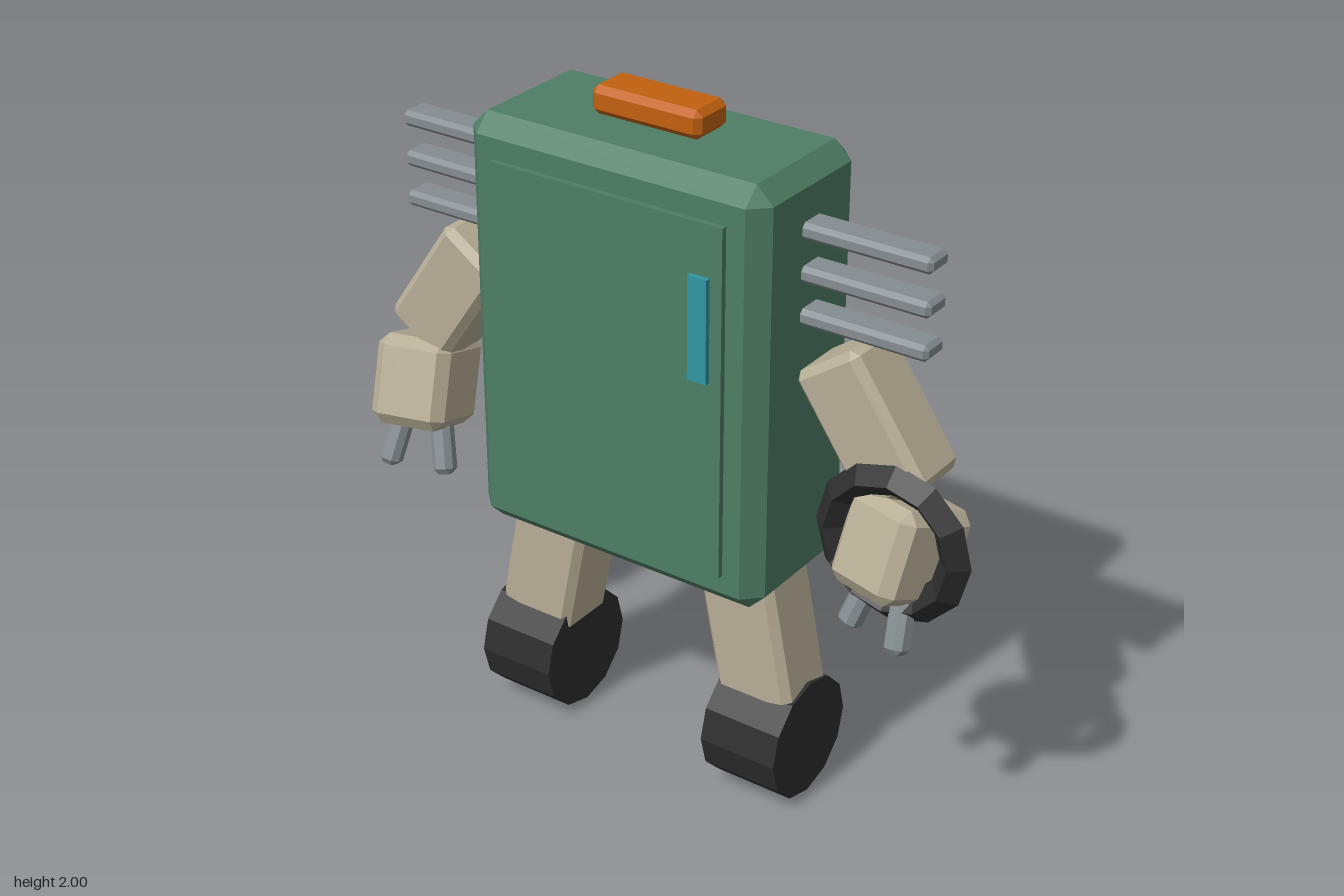
import * as THREE from 'three';
import { ConvexGeometry } from 'three/addons/geometries/ConvexGeometry.js';

const material = (name, color) => {
  const m = new THREE.MeshStandardMaterial({ color, flatShading: true });
  m.name = name;
  return m;
};

// Box with flat chamfers on every edge, centred on its origin
function chamferBox(w, h, d, c) {
  const points = [];
  for (const x of [-1, 1]) for (const y of [-1, 1]) for (const z of [-1, 1]) {
    const X = w / 2, Y = h / 2, Z = d / 2;
    points.push(
      new THREE.Vector3(x * X, y * (Y - c), z * (Z - c)),
      new THREE.Vector3(x * (X - c), y * Y, z * (Z - c)),
      new THREE.Vector3(x * (X - c), y * (Y - c), z * Z));
  }
  return new ConvexGeometry(points);
}

export function createModel() {
  const green = material('cabinet green', 0x4e7e65);
  const beige = material('limb beige', 0xb7ae96);
  const black = material('rubber black', 0x2d2d2d);
  const steel = material('steel grey', 0x858d91);
  const orange = material('lamp orange', 0xc26110);
  const teal = material('handle teal', 0x2f96a3);

  const model = new THREE.Group();
  model.name = 'cabinetRobot';
  const add = (parent, name, geometry, mat, x, y, z) => {
    const mesh = new THREE.Mesh(geometry, mat);
    mesh.name = name;
    mesh.position.set(x, y, z);
    parent.add(mesh);
    return mesh;
  };

  // The body's symmetry plane sits slightly off the model's centre
  const CX = -0.05, CZ = -0.015;

  // Cabinet body, door, handle and top lamp
  add(model, 'body', chamferBox(0.945, 1.23, 0.46, 0.05), green, CX, 1.295, CZ);
  add(model, 'door', new THREE.BoxGeometry(0.735, 1.015, 0.02), green, CX, 1.293, 0.222);
  add(model, 'doorHandle', new THREE.BoxGeometry(0.058, 0.295, 0.016), teal, 0.252, 1.508, 0.239);
  add(model, 'topLamp', chamferBox(0.345, 0.08, 0.14, 0.018), orange, CX - 0.0, 1.96, CZ);

  for (const s of [-1, 1]) {
    const side = s > 0 ? 'left' : 'right';

    // Three horizontal bars
    for (const y of [1.505, 1.625, 1.745])
      add(model, side + 'Bar', chamferBox(0.44, 0.046, 0.09, 0.012), steel, CX + s * 0.625, y, CZ);

    // Splayed leg and wheel foot
    const leg = add(model, side + 'Leg', chamferBox(0.243, 0.62, 0.205, 0.022), beige, CX + s * 0.331, 0.603, CZ);
    leg.rotation.z = s * 0.195;
    const wheel = new THREE.CylinderGeometry(0.183, 0.183, 0.243, 12).rotateZ(Math.PI / 2);
    add(model, side + 'Wheel', wheel, black, CX + s * 0.392, 0.183, CZ);

    // Upper arm
    const arm = add(model, side + 'UpperArm', chamferBox(0.22, 0.405, 0.2, 0.022), beige, CX + s * 0.687, 1.26, CZ);
    arm.rotation.z = s * 0.603;

    // Hand, pitched forwards and turned inwards, with two fingers
    const hand = new THREE.Group();
    hand.name = side + 'Hand';
    hand.position.set(CX + s * 0.802, 0.944, 0.032);
    hand.rotation.set(-0.35, -s * 0.26, 0, 'YXZ');
    model.add(hand);
    add(hand, side + 'Palm', chamferBox(0.23, 0.265, 0.275, 0.032), beige, 0, 0, 0);
    for (const f of [-1, 1]) {
      const finger = add(hand, side + 'Finger', chamferBox(0.064, 0.17, 0.064, 0.017), steel, f * 0.074, -0.187, 0);
      finger.rotation.z = f * 0.2;
    }
  }

  // Twelve-sided ring around the left hand
  add(model, 'handRing', new THREE.TorusGeometry(0.185, 0.047, 4, 12), black, 0.755, 0.978, 0.082);

  return model;
}
